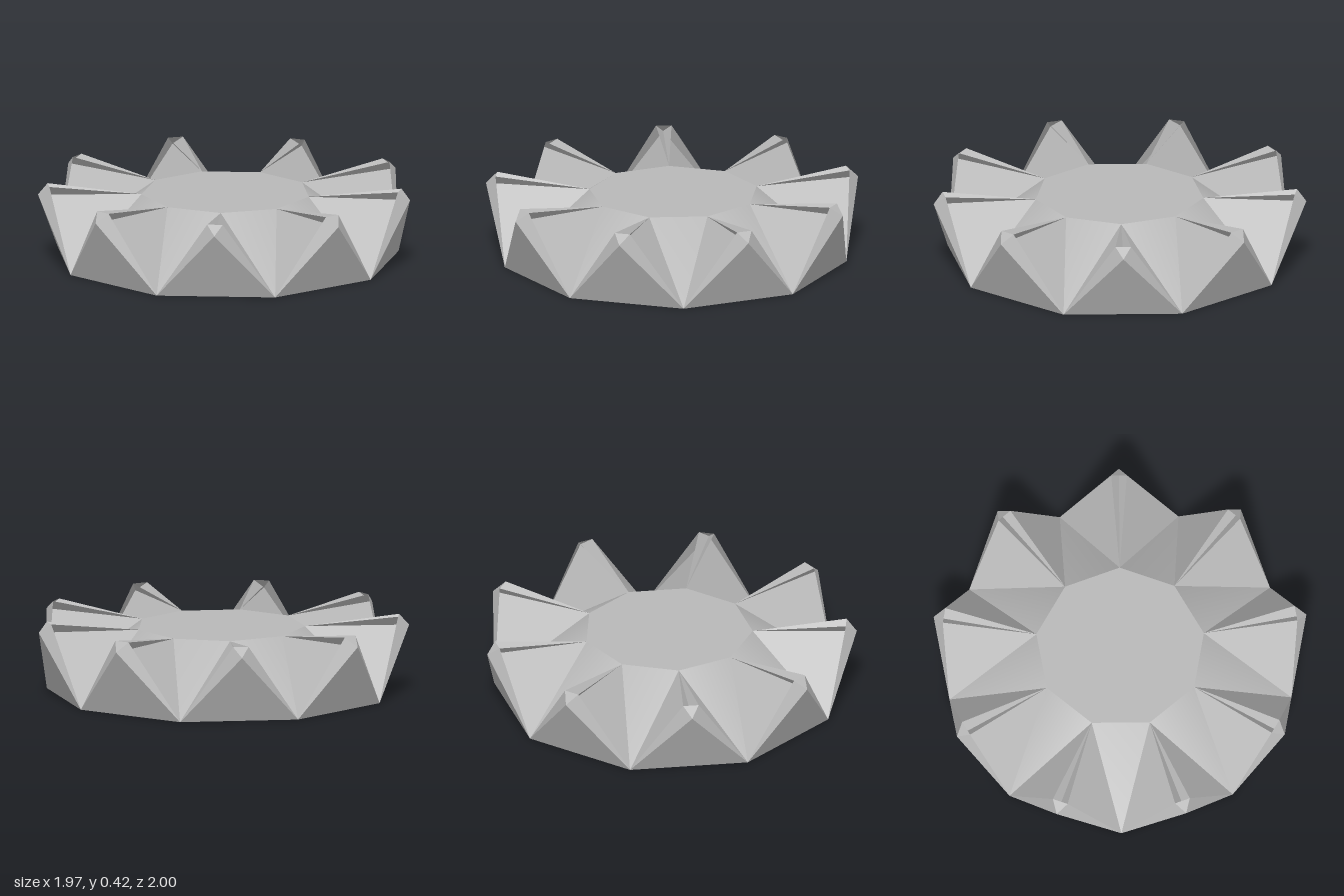
import * as THREE from 'three';

const SIDES = 9;
const STEP = (Math.PI * 2) / SIDES;
const BASE_R = 0.933, TOP_R = 0.457, TOP_Y = 0.355;

const grey = new THREE.MeshStandardMaterial({ color: 0xb8b8b8, side: THREE.DoubleSide });
grey.name = 'grey';

const polar = (r, a, y) => [r * Math.cos(a), y, r * Math.sin(a)];

function named(geometry, name) {
  const mesh = new THREE.Mesh(geometry, grey);
  mesh.name = name;
  return mesh;
}

// Sloping band between the base and the smaller raised floor, smoothly shaded
function bodySide() {
  const pos = [], nor = [];
  const add = (r, a, y) => {
    pos.push(...polar(r, a, y));
    const n = new THREE.Vector3(...polar(0.355, a, 0.5)).normalize();
    nor.push(n.x, n.y, n.z);
  };
  for (let i = 0; i < SIDES; i++) {
    const a = i * STEP;
    add(TOP_R, a, TOP_Y);
    add(TOP_R, a + STEP, TOP_Y);
    add(BASE_R, a + STEP / 2, 0);
    add(TOP_R, a, TOP_Y);
    add(BASE_R, a + STEP / 2, 0);
    add(BASE_R, a - STEP / 2, 0);
  }
  const g = new THREE.BufferGeometry();
  g.setAttribute('position', new THREE.Float32BufferAttribute(pos, 3));
  g.setAttribute('normal', new THREE.Float32BufferAttribute(nor, 3));
  return g;
}

// One pointed tooth facing +x: two sides crossing along the ridge, flaring into two ears
function toothGeometry() {
  const inner = [TOP_R, TOP_Y, 0];
  const tip = [1.017, 0.37, 0];
  const base = (s) => polar(BASE_R, (s * STEP) / 2, 0);
  const ear = (s) => [0.96, 0.42, s * 0.042];
  const pos = [];
  const tri = (a, b, c) => pos.push(...a, ...b, ...c);
  // outer wall and the small closing face between the ears
  tri(base(1), base(-1), tip);
  tri(tip, ear(-1), ear(1));
  // outer chamfers
  tri(base(1), tip, ear(1));
  tri(base(-1), ear(-1), tip);
  // side planes, each carried past the ridge to the opposite ear
  tri(inner, tip, base(1));
  tri(inner, ear(-1), tip);
  tri(inner, base(-1), tip);
  tri(inner, tip, ear(1));
  const g = new THREE.BufferGeometry();
  g.setAttribute('position', new THREE.Float32BufferAttribute(pos, 3));
  g.computeVertexNormals();
  return g;
}

export function createModel() {
  const group = new THREE.Group();
  group.name = 'toothedDish';

  group.add(named(bodySide(), 'bodySide'));

  const floor = named(new THREE.CircleGeometry(TOP_R, SIDES).rotateX(-Math.PI / 2), 'raisedFloor');
  floor.position.y = TOP_Y;
  group.add(floor);

  group.add(named(new THREE.CircleGeometry(BASE_R, SIDES, STEP / 2).rotateX(Math.PI / 2), 'underside'));

  // Ring of teeth
  const tooth = toothGeometry();
  for (let i = 0; i < SIDES; i++) {
    const mesh = named(tooth, 'tooth');
    mesh.rotation.y = i * STEP;
    group.add(mesh);
  }

  // Centre the odd-sided ring on its bounds
  group.children.forEach((m) => { m.position.x = -0.037; });
  return group;
}
